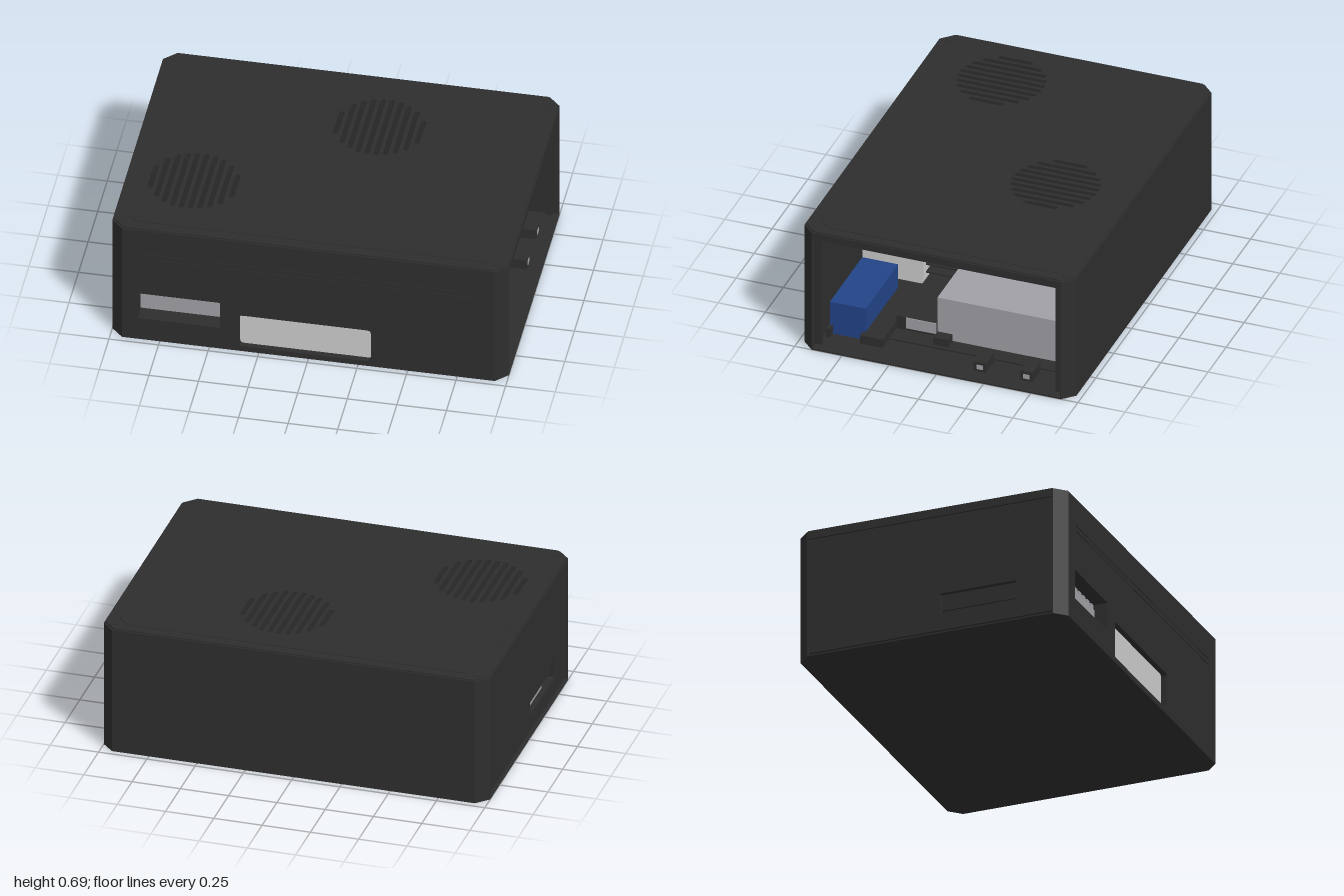
import * as THREE from 'three';

const mat = (name, color) => {
  const m = new THREE.MeshStandardMaterial({ color });
  m.name = name;
  return m;
};

export function createModel() {
  const dark = mat('charcoal plastic', 0x2e2e2e);
  const grey = mat('metal grey', 0xa0a0a6);
  const light = mat('light grey', 0xcccccc);
  const blue = mat('blue', 0x224488);
  const root = new THREE.Group();
  root.name = 'computerCase';

  const add = (name, geo, m) => {
    const mesh = new THREE.Mesh(geo, m);
    mesh.name = name;
    root.add(mesh);
    return mesh;
  };
  // Box given by its minimum and maximum on each axis
  const box = (name, m, x0, x1, y0, y1, z0, z1) => {
    const mesh = add(name, new THREE.BoxGeometry(x1 - x0, y1 - y0, z1 - z0), m);
    mesh.position.set((x0 + x1) / 2, (y0 + y1) / 2, (z0 + z1) / 2);
    return mesh;
  };
  const poly = (pts) => new THREE.Shape(pts.map(([x, y]) => new THREE.Vector2(x, y)));
  const octagon = (w, d, c) => poly([
    [-w + c, -d], [w - c, -d], [w, -d + c], [w, d - c],
    [w - c, d], [-w + c, d], [-w, d - c], [-w, -d + c]]);
  // Rectangle with rounded corners
  const roundRect = (P, x0, x1, y0, y1, r) => {
    const p = new P();
    p.moveTo(x0 + r, y0);
    p.lineTo(x1 - r, y0).quadraticCurveTo(x1, y0, x1, y0 + r);
    p.lineTo(x1, y1 - r).quadraticCurveTo(x1, y1, x1 - r, y1);
    p.lineTo(x0 + r, y1).quadraticCurveTo(x0, y1, x0, y1 - r);
    p.lineTo(x0, y0 + r).quadraticCurveTo(x0, y0, x0 + r, y0);
    return p;
  };
  const extrude = (shape, depth, bevel = 0) => new THREE.ExtrudeGeometry(shape, {
    depth, curveSegments: 4, bevelEnabled: bevel > 0, bevelSize: bevel,
    bevelThickness: bevel, bevelOffset: -bevel, bevelSegments: 1 });
  // Horizontal slab: shape y becomes -z
  const slab = (name, shape, y, depth) => {
    const geo = extrude(shape, depth);
    geo.rotateX(-Math.PI / 2);
    const mesh = add(name, geo, dark);
    mesh.position.y = y;
    return mesh;
  };

  // Lid with two round grilles of parallel slots
  const grilles = [[0.16, -0.31], [-0.66, 0.29]];
  const cutGrilles = (shape) => {
    for (const [cx, cz] of grilles) {
      for (let i = 0; i < 10; i++) {
        const dx = (i - 4.5) * 0.0457;
        const h = Math.sqrt(0.225 ** 2 - dx * dx);
        shape.holes.push(roundRect(THREE.Path, cx + dx - 0.0135, cx + dx + 0.0135,
          -cz - h, -cz + h, 0.008));
      }
    }
    return shape;
  };
  slab('lidFrame', cutGrilles(octagon(1, 0.72, 0.06)), 0.64, 0.04);
  slab('lidBevel', cutGrilles(octagon(0.993, 0.713, 0.06)), 0.68, 0.007);
  slab('lidPanel', cutGrilles(octagon(0.94, 0.66, 0.06)), 0.687, 0.003);
  for (const [cx, cz] of grilles) {
    const ring = add('grilleRing', new THREE.RingGeometry(0.245, 0.26, 48), dark);
    ring.rotation.x = -Math.PI / 2;
    ring.position.set(cx, 0.6915, cz);
    // Fan frame hanging below the grille
    for (const s of [-1, 1]) {
      box('fanFrameSide', dark, cx - 0.245, cx + 0.245, 0.34, 0.64,
        cz + s * 0.235 - 0.012, cz + s * 0.235 + 0.012);
      box('fanFrameEnd', dark, cx + s * 0.235 - 0.01, cx + s * 0.235 + 0.01, 0.34, 0.64,
        cz - 0.223, cz + 0.223);
    }
  }

  // Floor and chamfered corner posts
  slab('floor', octagon(1, 0.72, 0.06), 0, 0.008);
  for (const sx of [-1, 1]) for (const sz of [-1, 1]) {
    const pts = [[0.94, 0.72], [0.94, 0.655], [1, 0.655], [1, 0.66]]
      .map(([x, z]) => [sx * x, -sz * z]);
    slab('cornerPost', poly(pts), 0.008, 0.632);
    const screw = add('lidScrew', new THREE.CylinderGeometry(0.016, 0.016, 0.003, 16), dark);
    screw.position.set(sx * 0.935, 0.6885, sz * 0.66);
    box('innerPost', dark, sx > 0 ? 0.94 : -0.97, sx > 0 ? 0.97 : -0.94, 0.02, 0.64,
      sz > 0 ? 0.62 : -0.655, sz > 0 ? 0.655 : -0.62);
  }

  // Front wall with vent window and bay cutout
  const front = poly([[-0.94, 0.008], [0.94, 0.008], [0.94, 0.64], [-0.94, 0.64]]);
  front.holes.push(roundRect(THREE.Path, -0.86, -0.445, 0.13, 0.285, 0.004));
  front.holes.push(roundRect(THREE.Path, -0.35, 0.315, 0.03, 0.222, 0.02));
  add('frontWall', extrude(front, 0.07), dark).position.z = 0.65;
  for (const y of [0.5, 0.53]) box('frontRib', dark, -0.85, 0.85, y, y + 0.006, 0.718, 0.723);
  box('backWall', dark, -0.94, 0.94, 0.008, 0.64, -0.72, -0.65);

  // Left wall, set in slightly, with a port opening
  const side = poly([[-0.655, 0.02], [0.655, 0.02], [0.655, 0.64], [-0.655, 0.64]]);
  side.holes.push(roundRect(THREE.Path, 0.05, 0.46, 0.11, 0.22, 0.004));
  const sideGeo = extrude(side, 0.03);
  sideGeo.rotateY(-Math.PI / 2);
  add('leftWall', sideGeo, dark).position.x = -0.96;
  box('portPlate', dark, -0.965, -0.955, 0.135, 0.225, 0.04, 0.47);

  // Main board and the parts on it
  box('mainBoard', dark, -0.94, 0.8, 0.018, 0.026, -0.62, 0.62);
  box('portBlock', grey, -0.92, -0.8, 0.026, 0.12, 0.12, 0.47);
  box('coolerBase', dark, -0.77, -0.48, 0.026, 0.17, 0.1, 0.42);
  box('coolerFan', dark, -0.79, -0.46, 0.17, 0.3, 0.08, 0.44);
  const hub = add('coolerHub', new THREE.CylinderGeometry(0.1, 0.1, 0.01, 32), dark);
  hub.position.set(-0.65, 0.305, 0.29);
  box('ventBlock', grey, -0.88, -0.43, 0.138, 0.262, 0.51, 0.645);
  for (let i = 0; i < 8; i++) {
    const x = -0.84 + i * 0.052;
    box('ventFin', grey, x, x + 0.035, 0.262, 0.283, 0.6, 0.645);
  }

  // Power supply box with feet
  box('powerSupply', grey, -0.2, 0.72, 0.03, 0.265, -0.62, 0.1);
  box('supplyFoot', dark, 0.66, 0.78, 0.02, 0.068, 0.02, 0.1);

  // Front bay unit
  const bay = add('bayFace', extrude(roundRect(THREE.Shape, -0.35, 0.315, 0.03, 0.222, 0.02), 0.02), light);
  bay.position.z = 0.67;
  const body = extrude(roundRect(THREE.Shape, 0.325, 0.65, 0.065, 0.202, 0.018), 0.66);
  body.rotateY(-Math.PI / 2);
  add('bayBody', body, light).position.x = 0.32;

  // Blue unit on dark feet
  box('blueUnit', blue, 0.4, 0.85, 0.02, 0.202, 0.43, 0.62);
  box('blueUnitFoot', dark, 0.4, 0.89, 0.02, 0.068, 0.325, 0.445);
  box('blueUnitFoot', dark, 0.4, 0.89, 0.02, 0.068, 0.605, 0.625);

  // Sockets along the open side
  const socket = (z0, z1, y1, rim) => {
    box('socket', dark, 0.82, 0.93, 0.02, y1, z0, z1);
    box('socketFace', grey, 0.928, 0.933, 0.034, y1 - rim, z0 + rim, z1 - rim);
  };
  socket(-0.237, -0.17, 0.075, 0.017);
  socket(-0.483, -0.417, 0.075, 0.017);
  box('wideSocket', dark, 0.4, 0.7, 0.02, 0.1, 0.1, 0.325);
  box('wideSocketFace', grey, 0.69, 0.705, 0.04, 0.1, 0.112, 0.272);
  for (const y of [0.12, 0.165]) box('cableBar', dark, -0.4, 0.3, y, y + 0.008, 0.1, 0.32);

  return root;
}
